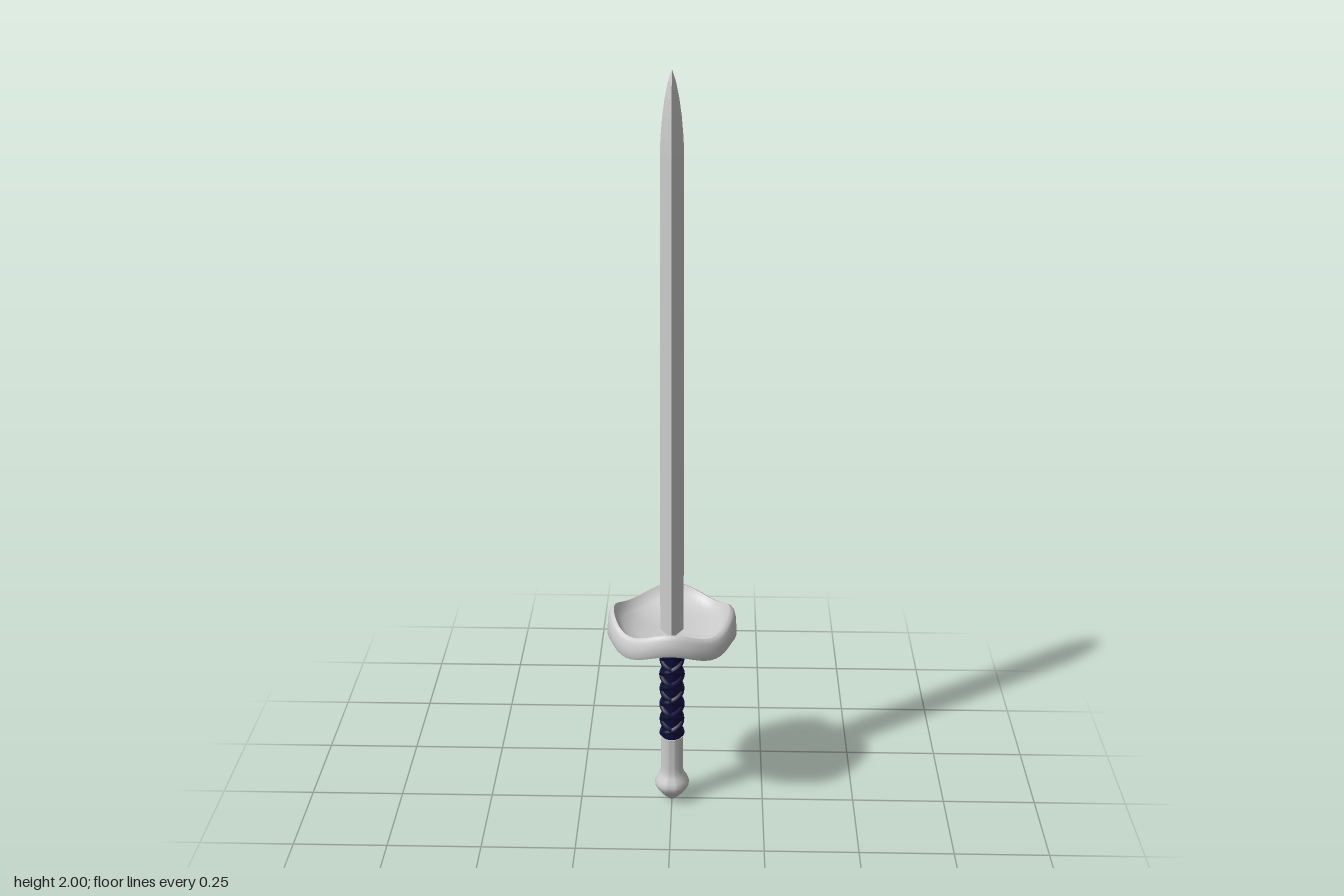
import * as THREE from 'three';
import { mergeVertices, toCreasedNormals } from 'three/addons/utils/BufferGeometryUtils.js';

const grey = new THREE.MeshStandardMaterial({ color: 0xcccccc });
const greyFlat = new THREE.MeshStandardMaterial({ color: 0xcccccc, flatShading: true });
const navy = new THREE.MeshStandardMaterial({ color: 0x0c0c38 });

const lathe = (points, segments) =>
  new THREE.LatheGeometry(points.map(([r, y]) => new THREE.Vector2(r, y)), segments);

// Weld seams, then smooth everything except sharp edges
function smooth(geometry, angle) {
  geometry.deleteAttribute('uv');
  geometry.deleteAttribute('normal');
  return toCreasedNormals(mergeVertices(geometry, 1e-5), angle);
}

// Diamond-section blade with a curved point, broad across z
function bladeGeometry() {
  const g = lathe([
    [0, 0.515], [0.06, 0.515], [0.056, 1.8], [0.053, 1.84],
    [0.045, 1.89], [0.033, 1.935], [0.018, 1.973], [0, 2],
  ], 4);
  return g.scale(0.52, 1, 1);
}

// Dished round guard whose rim rises and falls four times around
function guardGeometry() {
  const g = lathe([
    [0, 0.505], [0.04, 0.506], [0.08, 0.511], [0.12, 0.517], [0.15, 0.516], [0.168, 0.516],
    [0.172, 0.528], [0.17, 0.545], [0.166, 0.562], [0.161, 0.57], [0.154, 0.573],
    [0.146, 0.558], [0.13, 0.544], [0.1, 0.533], [0.06, 0.527], [0, 0.525],
  ], 64);
  const p = g.attributes.position;
  for (let i = 0; i < p.count; i++) {
    const x = p.getX(i), y = p.getY(i), z = p.getZ(i);
    const r = Math.hypot(x, z), a = Math.atan2(z, x);
    let lift = 0.014 * Math.cos(4 * a) * Math.min(1, (r / 0.155) ** 4);
    // Small drooping lip on the lower edge at both x ends
    if (r > 0.14 && y < 0.53) lift -= 0.026 * Math.abs(Math.cos(a)) ** 30;
    p.setY(i, y + lift);
  }
  return smooth(g, 0.75);
}

// One cord strand winding round the grip
function cordGeometry(direction, phase) {
  const points = [];
  const turns = 3, steps = 48;
  for (let i = 0; i <= steps; i++) {
    const t = i / steps, a = direction * t * turns * Math.PI * 2 + phase;
    points.push(new THREE.Vector3(0.026 * Math.cos(a), 0.206 + 0.276 * t, 0.026 * Math.sin(a)));
  }
  return new THREE.TubeGeometry(new THREE.CatmullRomCurve3(points), 144, 0.0085, 6);
}

export function createModel() {
  const model = new THREE.Group();
  const add = (parent, name, geometry, material) => {
    const mesh = new THREE.Mesh(geometry, material);
    mesh.name = name;
    parent.add(mesh);
    return mesh;
  };

  add(model, 'blade', bladeGeometry(), greyFlat);
  add(model, 'guard', guardGeometry(), grey);

  // Collar between guard and grip
  add(model, 'collar', smooth(lathe([
    [0, 0.482], [0.032, 0.482], [0.037, 0.49], [0.042, 0.5], [0.045, 0.514], [0, 0.514],
  ], 32), 0.6), grey);

  // Grip core with crossing cords
  const grip = new THREE.Group();
  grip.name = 'grip';
  model.add(grip);
  const core = add(grip, 'gripCore', new THREE.CylinderGeometry(0.028, 0.028, 0.29, 24), navy);
  core.position.y = 0.343;
  for (const direction of [1, -1])
    for (const phase of [0, Math.PI])
      add(grip, 'gripCord', cordGeometry(direction, phase), navy);

  // Lower handle running into the pommel
  add(model, 'pommel', smooth(lathe([
    [0, 0], [0.01, 0.003], [0.024, 0.016], [0.04, 0.036], [0.046, 0.047], [0.047, 0.056],
    [0.043, 0.068], [0.035, 0.08], [0.031, 0.092], [0.03, 0.11], [0.03, 0.2], [0, 0.2],
  ], 32), 0.7), grey);

  return model;
}
